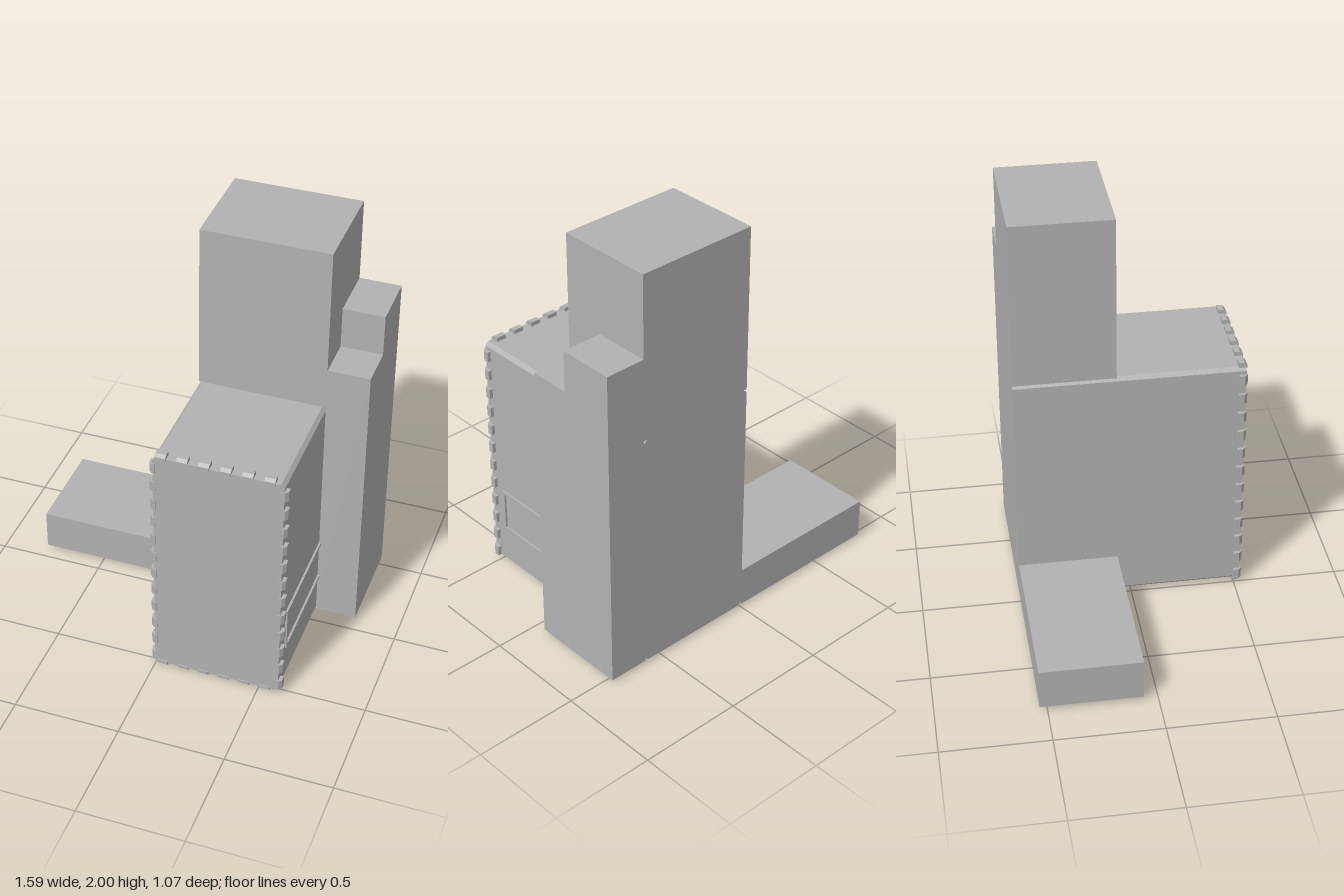
import * as THREE from 'three';

export function createModel() {
  const group = new THREE.Group();
  const grey = new THREE.MeshStandardMaterial({ color: 0xb2b2b2 });
  grey.name = 'grey';

  const add = (name, geometry) => {
    const mesh = new THREE.Mesh(geometry, grey);
    mesh.name = name;
    group.add(mesh);
    return mesh;
  };
  // Box given by its minimum and maximum on each axis
  const box = (name, x0, x1, y0, y1, z0, z1) =>
    add(name, new THREE.BoxGeometry(x1 - x0, y1 - y0, z1 - z0))
      .position.set((x0 + x1) / 2, (y0 + y1) / 2, (z0 + z1) / 2);

  const back = -0.535, mid = -0.065, front = 0.53;
  const W = 0.595, base = 0.022, roof = 1.208, c = 0.017;

  // Long main block with four chamfered edges, running from front to back
  const outline = new THREE.Shape([
    [c, base], [W - c, base], [W, base + c], [W, roof - c],
    [W - c, roof], [c, roof], [0, roof - c], [0, base + c],
  ].map(([x, y]) => new THREE.Vector2(x, y)));
  add('mainBlock', new THREE.ExtrudeGeometry(outline, { depth: front - back, bevelEnabled: false }))
    .position.z = back;

  // Tower, stepped side column and low wing
  box('tower', 0, W, roof, 2, back, mid);
  const step = new THREE.Shape([
    [-back, base], [-mid, base], [-mid, 1.407], [0.265, 1.407], [0.265, 1.605], [-back, 1.605],
  ].map(([x, y]) => new THREE.Vector2(x, y)));
  const column = add('sideColumn', new THREE.ExtrudeGeometry(step, { depth: 0.79 - W, bevelEnabled: false }));
  column.rotation.y = Math.PI / 2;
  column.position.x = W;
  box('lowWing', -0.795, 0, base, 0.218, back, mid);

  // Teeth around the front edge: profile in (outward, z) with a sloped front
  const profile = new THREE.Shape([
    [-0.012, 0.495], [0.017, 0.495], [0.017, 0.521], [0.004, 0.535], [-0.012, 0.535],
  ].map(([x, y]) => new THREE.Vector2(x, y)));
  const toothGeometry = new THREE.ExtrudeGeometry(profile, { depth: 0.049, bevelEnabled: false });
  toothGeometry.translate(0, 0, -0.0245);
  toothGeometry.rotateX(Math.PI / 2); // outward stays x, the profile height becomes z
  const tooth = (name, x, y, turn) => {
    const mesh = add(name, toothGeometry);
    mesh.position.set(x, y, 0);
    mesh.rotation.z = turn;
  };
  for (let i = 0; i < 12; i++) {
    const y = 0.06 + i * 0.099;
    tooth('rightEdgeTooth', W, y, 0);
    tooth('leftEdgeTooth', 0, y, Math.PI);
  }
  for (let i = 0; i < 6; i++) {
    const x = 0.036 + i * 0.0987;
    tooth('topTooth', x, roof + 0.003, Math.PI / 2);
    tooth('bottomTooth', x, base, -Math.PI / 2);
  }

  // Raised frame on the side of the block, ending at the column
  const t = 0.015, y0 = 0.218, y1 = 0.435, z1 = 0.45;
  box('frameBottom', W - 0.005, 0.605, y0, y0 + t, mid, z1);
  box('frameTop', W - 0.005, 0.605, y1 - t, y1, mid, z1);
  box('frameEnd', W - 0.005, 0.605, y0 + t, y1 - t, z1 - t, z1);

  return group;
}
